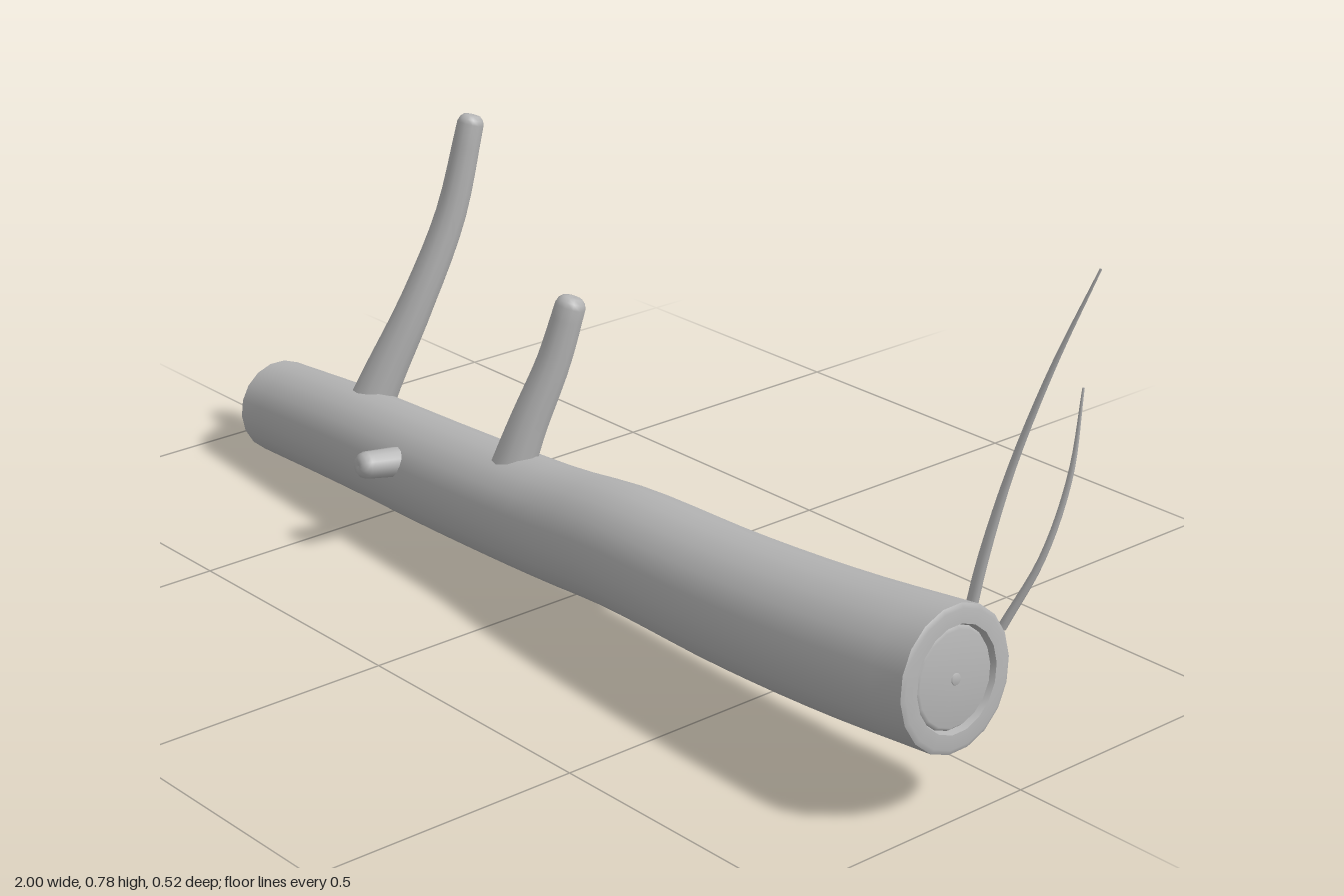
import * as THREE from 'three';

const bark = new THREE.MeshStandardMaterial({ color: 0xb4b4b4 });
bark.name = 'bark grey';

// Skin a series of rings {c, n, b, r} into one smooth surface
function loft(rings, sides) {
  const pos = [], index = [];
  rings.forEach((ring, i) => {
    for (let j = 0; j < sides; j++) {
      const a = (j / sides) * Math.PI * 2;
      const p = ring.c.clone()
        .addScaledVector(ring.n, Math.cos(a) * ring.r)
        .addScaledVector(ring.b, Math.sin(a) * ring.r);
      pos.push(p.x, p.y, p.z);
      if (i < rings.length - 1) {
        const k = (j + 1) % sides, u = i * sides, v = u + sides;
        index.push(u + j, u + k, v + j, u + k, v + k, v + j);
      }
    }
  });
  const g = new THREE.BufferGeometry();
  g.setAttribute('position', new THREE.Float32BufferAttribute(pos, 3));
  g.setIndex(index);
  g.computeVertexNormals();
  return g;
}

// Rings along a smooth path; each point is [x, y, z, radius]
function pathRings(points, steps) {
  const curve = new THREE.CatmullRomCurve3(points.map(p => new THREE.Vector3(p[0], p[1], p[2])));
  const f = curve.computeFrenetFrames(steps, false);
  const last = points.length - 1;
  const rings = [];
  for (let i = 0; i <= steps; i++) {
    const t = curve.getUtoTmapping(i / steps);
    const s = Math.min(Math.floor(t * last), last - 1);
    rings.push({
      c: curve.getPoint(t), n: f.normals[i], b: f.binormals[i], t: f.tangents[i],
      r: THREE.MathUtils.lerp(points[s][3], points[s + 1][3], t * last - s),
    });
  }
  return rings;
}

// A copy of a ring moved along its axis with another radius
const shifted = (ring, d, r) => ({ ...ring, c: ring.c.clone().addScaledVector(ring.t, d), r });

export function createModel() {
  const model = new THREE.Group();
  model.name = 'fallenLog';
  const add = (name, geometry) => {
    const mesh = new THREE.Mesh(geometry, bark);
    mesh.name = name;
    model.add(mesh);
  };

  // Trunk, gently bowed and thicker at the sawn end
  const trunk = pathRings([
    [-0.885, 0.093, 0.067, 0.089], [-0.6, 0.117, 0.082, 0.095], [-0.3, 0.134, 0.096, 0.099],
    [0, 0.155, 0.108, 0.102], [0.2, 0.181, 0.122, 0.107], [0.5, 0.196, 0.139, 0.112],
    [0.75, 0.214, 0.144, 0.116], [0.982, 0.237, 0.14, 0.12],
  ], 28);
  add('trunk', loft(trunk, 18));

  // Broken point at the thin end
  const start = trunk[0];
  const tip = { ...start, c: new THREE.Vector3(-1, 0.078, 0.068), r: 0.001 };
  const mid = { ...start, c: new THREE.Vector3(-0.95, 0.084, 0.066), r: 0.043 };
  add('brokenPoint', loft([tip, mid, start], 18));

  // Sawn end: rim, groove, heartwood and pith
  const end = trunk[trunk.length - 1];
  const face = (...list) => loft(list.map(([d, r]) => shifted(end, d, r)), 18);
  add('sawnRim', face([0, 0.12], [0.004, 0.112], [0.004, 0.088]));
  add('rimGroove', face([0.004, 0.088], [-0.008, 0.084]));
  add('heartwood', face([-0.008, 0.084], [0, 0.078], [0.001, 0.01]));
  add('pith', face([0.001, 0.01], [0.003, 0.009], [0.003, 0]));

  // Branch stubs with blunt, rounded ends
  const branch = (name, points, sides = 12, steps = 14) => {
    const rings = pathRings(points, steps);
    const e = rings[rings.length - 1];
    [[0.35, 0.88], [0.6, 0.62], [0.65, 0.3], [0.58, 0]].forEach(([d, k]) =>
      rings.push(shifted(e, d * e.r, k * e.r)));
    add(name, loft(rings, sides));
  };
  branch('tallBranch', [
    [-0.61, 0.15, 0.07, 0.045], [-0.595, 0.23, 0.037, 0.04], [-0.57, 0.37, -0.028, 0.033],
    [-0.553, 0.53, -0.097, 0.029], [-0.547, 0.7, -0.143, 0.025],
  ]);
  branch('shortBranch', [
    [-0.127, 0.19, 0.118, 0.042], [-0.112, 0.29, 0.085, 0.036],
    [-0.093, 0.41, 0.038, 0.031], [-0.083, 0.508, 0.008, 0.028],
  ]);
  branch('rearBranch', [
    [0.12, 0.178, 0.07, 0.034], [0.135, 0.142, 0, 0.03], [0.155, 0.078, -0.13, 0.021],
  ]);
  branch('frontStub', [
    [-0.373, 0.16, 0.11, 0.027], [-0.378, 0.168, 0.18, 0.027], [-0.384, 0.175, 0.235, 0.025],
  ]);

  // Two thin twigs standing behind the sawn end
  const twig = (name, points) => {
    const rings = pathRings(points, 16);
    const a = rings[0], z = rings[16];
    add(name, loft([shifted(a, 0, 0), a, ...rings, shifted(z, 0.001, 0)], 7));
  };
  twig('tallTwig', [
    [0.735, 0.15, -0.148, 0.011], [0.752, 0.26, -0.157, 0.01], [0.787, 0.43, -0.178, 0.007],
    [0.837, 0.61, -0.207, 0.005], [0.895, 0.784, -0.242, 0.002],
  ]);
  twig('shortTwig', [
    [0.785, 0.152, -0.176, 0.008], [0.828, 0.28, -0.218, 0.006],
    [0.849, 0.42, -0.25, 0.005], [0.856, 0.57, -0.262, 0.002],
  ]);

  return model;
}
